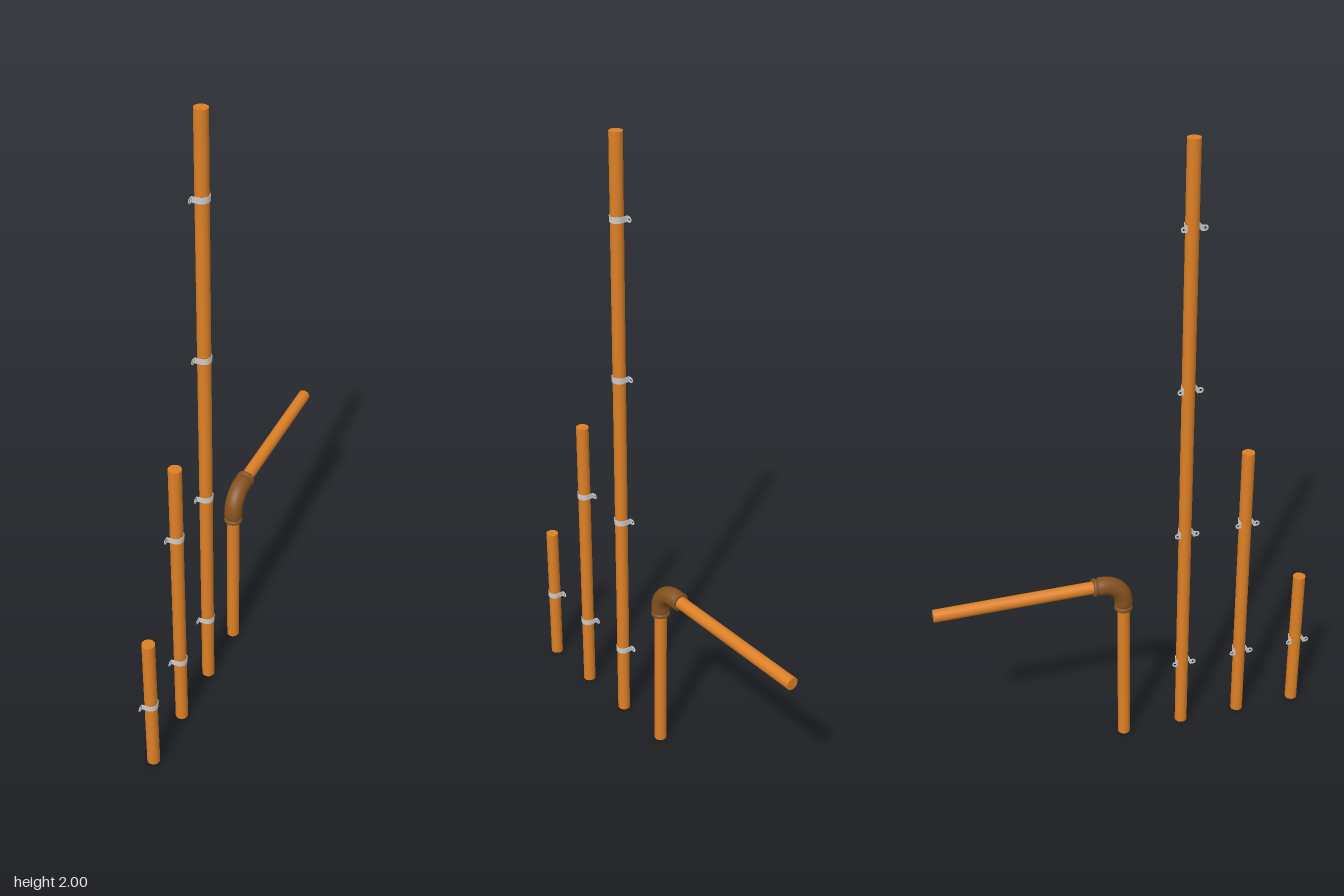
import * as THREE from 'three';

const copper = new THREE.MeshStandardMaterial({ color: 0xdd8026 });
const bronze = new THREE.MeshStandardMaterial({ color: 0x85521f });
const steel = new THREE.MeshStandardMaterial({ color: 0xcccccc });

const R = 0.02;          // pipe radius
const T = 0.002;         // clip sheet thickness
const CLIP_H = 0.018;    // clip strap height

function add(parent, name, geometry, material, x = 0, y = 0, z = 0) {
  const mesh = new THREE.Mesh(geometry, material);
  mesh.name = name;
  mesh.position.set(x, y, z);
  parent.add(mesh);
  return mesh;
}

// U-shaped strap round the +x side of a pipe, with two drilled mounting tabs
function makeClip() {
  const clip = new THREE.Group();
  clip.name = 'pipeClip';

  const inner = R + 0.0005, outer = inner + T;
  const strap = new THREE.Shape();
  strap.moveTo(-R, -outer);
  strap.lineTo(0, -outer);
  strap.absarc(0, 0, outer, -Math.PI / 2, Math.PI / 2, false);
  strap.lineTo(-R, outer);
  strap.lineTo(-R, inner);
  strap.lineTo(0, inner);
  strap.absarc(0, 0, inner, Math.PI / 2, -Math.PI / 2, true);
  strap.lineTo(-R, -inner);
  const strapGeo = new THREE.ExtrudeGeometry(strap, { depth: CLIP_H, bevelEnabled: false, curveSegments: 20 });
  strapGeo.translate(0, 0, -CLIP_H / 2).rotateX(-Math.PI / 2);
  add(clip, 'strap', strapGeo, steel);

  // tab outline: square at the strap, round at the free end
  const h = CLIP_H / 2, end = 0.04 - h;
  const tab = new THREE.Shape();
  tab.moveTo(inner, -h);
  tab.lineTo(end, -h);
  tab.absarc(end, 0, h, -Math.PI / 2, Math.PI / 2, false);
  tab.lineTo(inner, h);
  const hole = new THREE.Path();
  hole.absarc(end, 0, 0.004, 0, Math.PI * 2, true);
  tab.holes.push(hole);
  const tabGeo = new THREE.ExtrudeGeometry(tab, { depth: T, bevelEnabled: false, curveSegments: 12 });
  tabGeo.translate(0, 0, -T / 2);
  for (const side of [1, -1]) {
    add(clip, 'mountingTab', tabGeo, steel, -R, 0, 0).rotation.y = side * Math.PI / 2;
  }
  return clip;
}

// Ringed socket along +y, from the mouth at 0 to the elbow body
function makeSocketGeometry() {
  const profile = [
    [R, 0], [0.027, 0], [0.029, 0.002], [0.029, 0.009], [0.027, 0.011],
    [0.0245, 0.012], [0.0245, 0.017], [0.027, 0.018], [0.029, 0.02], [0.029, 0.032],
  ].map(([x, y]) => new THREE.Vector2(x, y));
  return new THREE.LatheGeometry(profile, 32);
}

export function createModel() {
  const model = new THREE.Group();
  model.name = 'pipeSet';

  // Upright pipes, with clips every half unit
  [[0.5, 0.58], [1, 0.38], [2, 0.18]].forEach(([length, z]) => {
    const upright = new THREE.Group();
    upright.name = 'clippedPipe';
    upright.position.z = z;
    add(upright, 'pipe', new THREE.CylinderGeometry(R, R, length, 32), copper, 0, length / 2, 0);
    for (let y = 0.25; y < length; y += 0.5) {
      const clip = makeClip();
      clip.position.y = y;
      upright.add(clip);
    }
    model.add(upright);
  });

  // Pipe with a right-angle turn toward the back
  const bent = new THREE.Group();
  bent.name = 'elbowedPipe';
  bent.position.z = -0.02;
  const pipe = new THREE.CylinderGeometry(R, R, 0.52, 32);
  add(bent, 'lowerPipe', pipe, copper, 0, 0.26, 0);
  add(bent, 'horizontalPipe', pipe, copper, 0, 0.6, -0.34).rotation.x = Math.PI / 2;

  // Elbow: quarter bend between two sockets
  const elbow = new THREE.Group();
  elbow.name = 'elbow';
  const bend = 0.069;
  const bendGeo = new THREE.TorusGeometry(bend, 0.029, 24, 24, Math.PI / 2);
  bendGeo.rotateY(-Math.PI / 2);
  add(elbow, 'elbowBend', bendGeo, bronze, 0, 0.6 - bend, -bend);
  const socket = makeSocketGeometry();
  add(elbow, 'lowerSocket', socket, bronze, 0, 0.5, 0);
  add(elbow, 'backSocket', socket, bronze, 0, 0.6, -0.1).rotation.x = Math.PI / 2;
  elbow.children[2].position.z = -0.1;
  bent.add(elbow);
  model.add(bent);
  return model;
}
